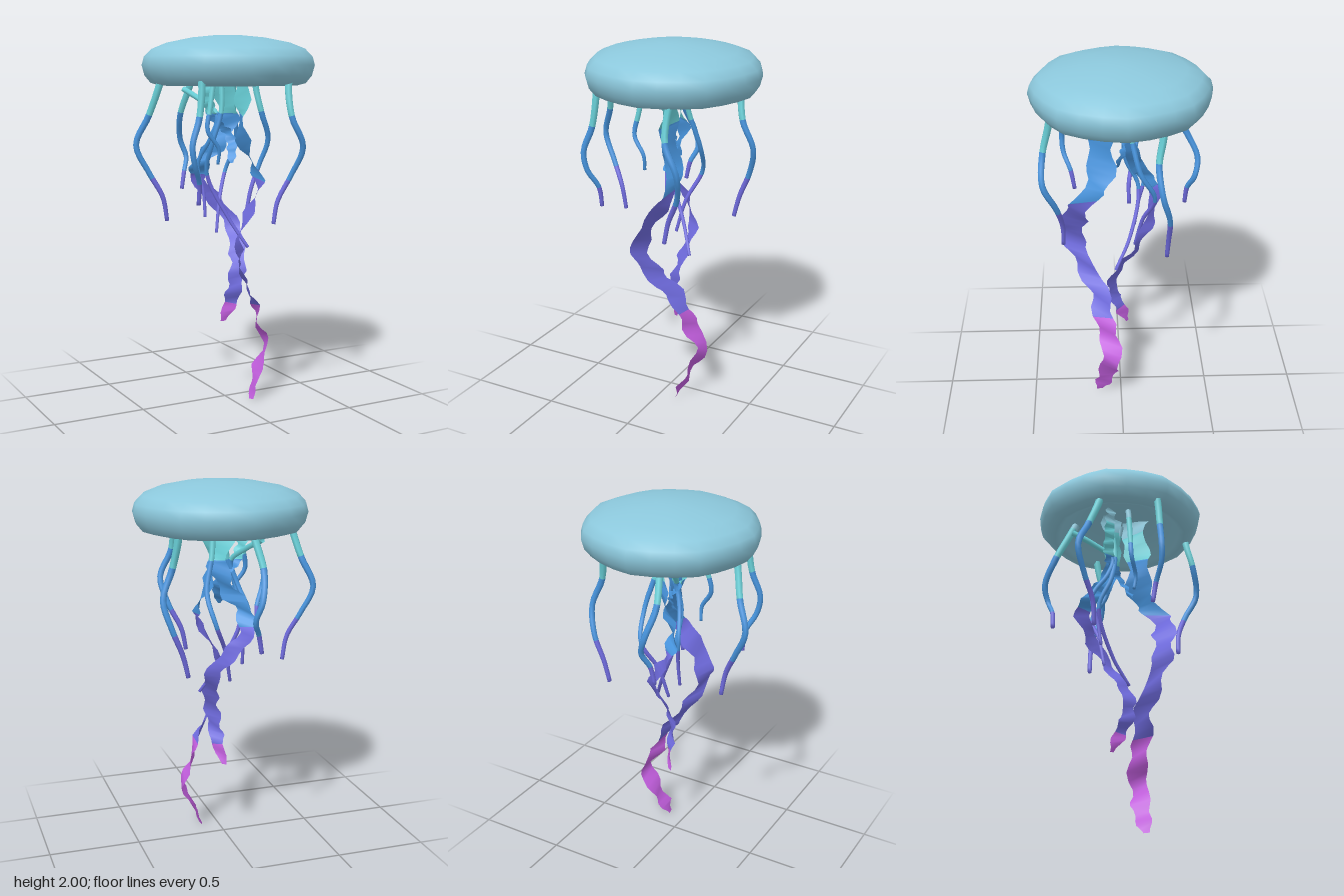
import * as THREE from 'three';
import { mergeVertices } from 'three/addons/utils/BufferGeometryUtils.js';

function material(name, color, side = THREE.DoubleSide) {
  const m = new THREE.MeshStandardMaterial({ color, side });
  m.name = name;
  return m;
}

// Colour bands from the bell down to the tips, split at fixed heights
const LIMITS = [1.77, 1.58, 1.24, 0.53];

// Sweep a cross-section along a descending path; section(t, tangent) gives offsets from the centre
function sweep(path, steps, closed, section, materials) {
  const curve = new THREE.CatmullRomCurve3(path.map((p) => new THREE.Vector3(...p)));
  const ts = Array.from({ length: steps + 1 }, (_, i) => i / steps);
  for (const limit of LIMITS) {
    if (path[0][1] <= limit || path[path.length - 1][1] >= limit) continue;
    let lo = 0, hi = 1;
    for (let k = 0; k < 30; k++) {
      const mid = (lo + hi) / 2;
      if (curve.getPoint(mid).y > limit) lo = mid; else hi = mid;
    }
    ts.push(lo);
  }
  ts.sort((a, b) => a - b);

  const positions = [], index = [];
  const geometry = new THREE.BufferGeometry();
  let count = 0;
  ts.forEach((t, i) => {
    const centre = curve.getPoint(t);
    const ring = section(t, curve.getTangent(t));
    count = ring.length;
    ring.forEach((o) => positions.push(centre.x + o.x, centre.y + o.y, centre.z + o.z));
    if (i === 0) return;
    const start = index.length;
    const quads = closed ? count : count - 1;
    for (let j = 0; j < quads; j++) {
      const a = (i - 1) * count + j, b = (i - 1) * count + (j + 1) % count;
      index.push(a, b, a + count, b, b + count, a + count);
    }
    const y = curve.getPoint((t + ts[i - 1]) / 2).y;
    geometry.addGroup(start, index.length - start, LIMITS.filter((l) => y < l).length);
  });
  // Close the lower tip of round arms
  if (closed) {
    const base = (ts.length - 1) * count, start = index.length;
    for (let j = 1; j < count - 1; j++) index.push(base, base + j, base + j + 1);
    geometry.addGroup(start, index.length - start, LIMITS.filter((l) => path[path.length - 1][1] < l).length);
  }
  geometry.setAttribute('position', new THREE.Float32BufferAttribute(positions, 3));
  geometry.setIndex(index);
  geometry.computeVertexNormals();
  return new THREE.Mesh(geometry, materials);
}

function tentacle(path, radius, materials) {
  return sweep(path, 28, true, (t, tangent) => {
    const u = new THREE.Vector3(0, 0, 1).cross(tangent).normalize();
    const v = tangent.clone().cross(u);
    const r = radius * (1 - 0.45 * t);
    return Array.from({ length: 6 }, (_, j) => {
      const a = (j / 6) * Math.PI * 2;
      return u.clone().multiplyScalar(Math.cos(a) * r).addScaledVector(v, Math.sin(a) * r);
    });
  }, materials);
}

// Flat frilled arm: it twists by bow towards its middle, flutters, and both edges ripple
function ribbon(path, width, angle, bow, materials) {
  return sweep(path, 50, false, (t) => {
    const a = angle + bow * Math.sin(t * Math.PI) + 0.28 * Math.sin(t * 62);
    const side = new THREE.Vector3(Math.cos(a), 0.15 * Math.sin(t * 40), Math.sin(a));
    const w = (width / 2) * (1.12 - 0.4 * t) * (t > 0.93 ? 1 - (t - 0.93) * 8 : 1);
    return [
      side.clone().multiplyScalar(-w * (1 + 0.22 * Math.sin(t * 74))),
      side.clone().multiplyScalar(w * (1 + 0.22 * Math.sin(t * 66 + 2))),
    ];
  }, materials);
}

// Hollow cap with eight soft corners
function bellGeometry() {
  const profile = [
    [0, 1.88], [0.2, 1.85], [0.31, 1.79], [0.35, 1.745], [0.38, 1.733], [0.425, 1.745], [0.458, 1.785],
    [0.473, 1.84], [0.46, 1.885], [0.42, 1.925], [0.34, 1.957], [0.2, 1.985], [0.08, 1.997], [0, 2],
  ].map((p) => new THREE.Vector2(...p));
  const turn = 0.045;
  const lathe = new THREE.LatheGeometry(profile, 24, turn);
  lathe.deleteAttribute('uv');
  lathe.deleteAttribute('normal');
  const pos = lathe.attributes.position;
  for (let i = 0; i < pos.count; i++) {
    const x = pos.getX(i), z = pos.getZ(i), r = Math.hypot(x, z);
    const a = Math.atan2(x, z) - turn;
    const k = 1 + 0.014 * (Math.cos(a * 8) - 1) * Math.min(1, r / 0.35);
    pos.setX(i, x * k + 0.018);
    pos.setZ(i, z * k);
  }
  const merged = mergeVertices(lathe, 1e-4);
  merged.computeVertexNormals();
  return merged;
}

export function createModel() {
  const group = new THREE.Group();
  const bands = [
    material('paleBlue', 0x8cc8dc),
    material('teal', 0x6ad2da),
    material('blue', 0x4896e0),
    material('indigo', 0x706ce0),
    material('magenta', 0xc45fe0),
  ];
  const add = (name, mesh) => { mesh.name = name; group.add(mesh); };

  add('bell', new THREE.Mesh(bellGeometry(), bands[0]));

  // Outer tentacles hanging from the rim
  const outer = [
    [[-0.36, 1.8, -0.01], [-0.385, 1.7, -0.03], [-0.42, 1.57, -0.07], [-0.475, 1.42, -0.11], [-0.41, 1.27, -0.09], [-0.345, 1.14, -0.06], [-0.32, 1.01, -0.06]],
    [[-0.28, 1.8, 0.28], [-0.285, 1.7, 0.29], [-0.305, 1.57, 0.3], [-0.35, 1.44, 0.315], [-0.335, 1.34, 0.31], [-0.29, 1.24, 0.27], [-0.285, 1.13, 0.25]],
    [[0.19, 1.8, 0.35], [0.175, 1.7, 0.37], [0.18, 1.57, 0.4], [0.245, 1.42, 0.405], [0.215, 1.27, 0.34], [0.15, 1.13, 0.31], [0.125, 1.01, 0.31]],
    [[0.3, 1.8, -0.21], [0.31, 1.7, -0.2], [0.335, 1.57, -0.18], [0.39, 1.42, -0.2], [0.355, 1.27, -0.24], [0.3, 1.13, -0.24], [0.27, 1.01, -0.235]],
    [[-0.06, 1.8, -0.24], [-0.08, 1.7, -0.285], [-0.1, 1.56, -0.35], [-0.07, 1.42, -0.415], [-0.04, 1.32, -0.4], [-0.07, 1.24, -0.365], [-0.09, 1.14, -0.355]],
  ];
  outer.forEach((p) => add('outerTentacle', tentacle(p, 0.022, bands)));

  // Inner tentacles below the centre
  const inner = [
    [[-0.13, 1.71, -0.24], [-0.08, 1.65, -0.13], [-0.03, 1.57, -0.03], [-0.06, 1.45, -0.05], [-0.1, 1.3, -0.13], [-0.08, 1.15, -0.1], [-0.08, 1.01, -0.08]],
    [[0.06, 1.83, 0], [0.08, 1.62, -0.05], [0.125, 1.42, -0.1], [0.1, 1.26, -0.18], [0.03, 1.1, -0.12], [-0.01, 0.92, -0.08]],
    [[0, 1.83, -0.05], [-0.01, 1.6, -0.02], [-0.06, 1.42, -0.03], [-0.06, 1.25, -0.1], [0.05, 1.0, -0.05], [0.13, 0.84, 0.03]],
    [[-0.1, 1.83, 0.08], [-0.14, 1.62, 0.1], [-0.16, 1.5, 0.11], [-0.1, 1.4, 0.12], [-0.1, 1.32, 0.11]],
  ];
  inner.forEach((p) => add('innerTentacle', tentacle(p, 0.017, bands)));

  // Long frilled arms
  add('longRibbonArm', ribbon([
    [0.07, 1.86, 0.08], [0.06, 1.7, 0.08], [0.04, 1.56, 0.11], [0.06, 1.42, 0.1], [0.1, 1.3, 0.15], [0.08, 1.2, 0.23],
    [0.01, 1.08, 0.25], [-0.05, 0.96, 0.26], [-0.04, 0.85, 0.23], [0.01, 0.74, 0.17], [0.08, 0.63, 0.11],
    [0.14, 0.52, 0.1], [0.17, 0.42, 0.065], [0.23, 0.3, 0.06], [0.17, 0.17, 0.08], [0.13, 0.08, 0.1], [0.1, 0, 0.125],
  ], 0.13, Math.PI / 2, 0.35, bands));
  add('shortRibbonArm', ribbon([
    [0, 1.86, -0.04], [0.01, 1.7, -0.04], [0.05, 1.56, -0.05], [0, 1.42, -0.08], [-0.07, 1.32, -0.13], [-0.07, 1.22, -0.19],
    [0.01, 1.1, -0.16], [0.09, 0.97, -0.09], [0.08, 0.85, -0.01], [0.06, 0.74, 0.04], [0.04, 0.63, 0.04],
    [0.035, 0.53, 0], [0.01, 0.42, -0.04],
  ], 0.105, 0.72, 0, bands));
  add('innerRibbonArm', ribbon([
    [-0.09, 1.86, -0.02], [-0.1, 1.7, -0.03], [-0.05, 1.56, -0.04], [0.03, 1.46, 0], [0, 1.32, 0.08],
  ], 0.065, 0.4, 0.5, bands));
  return group;
}
